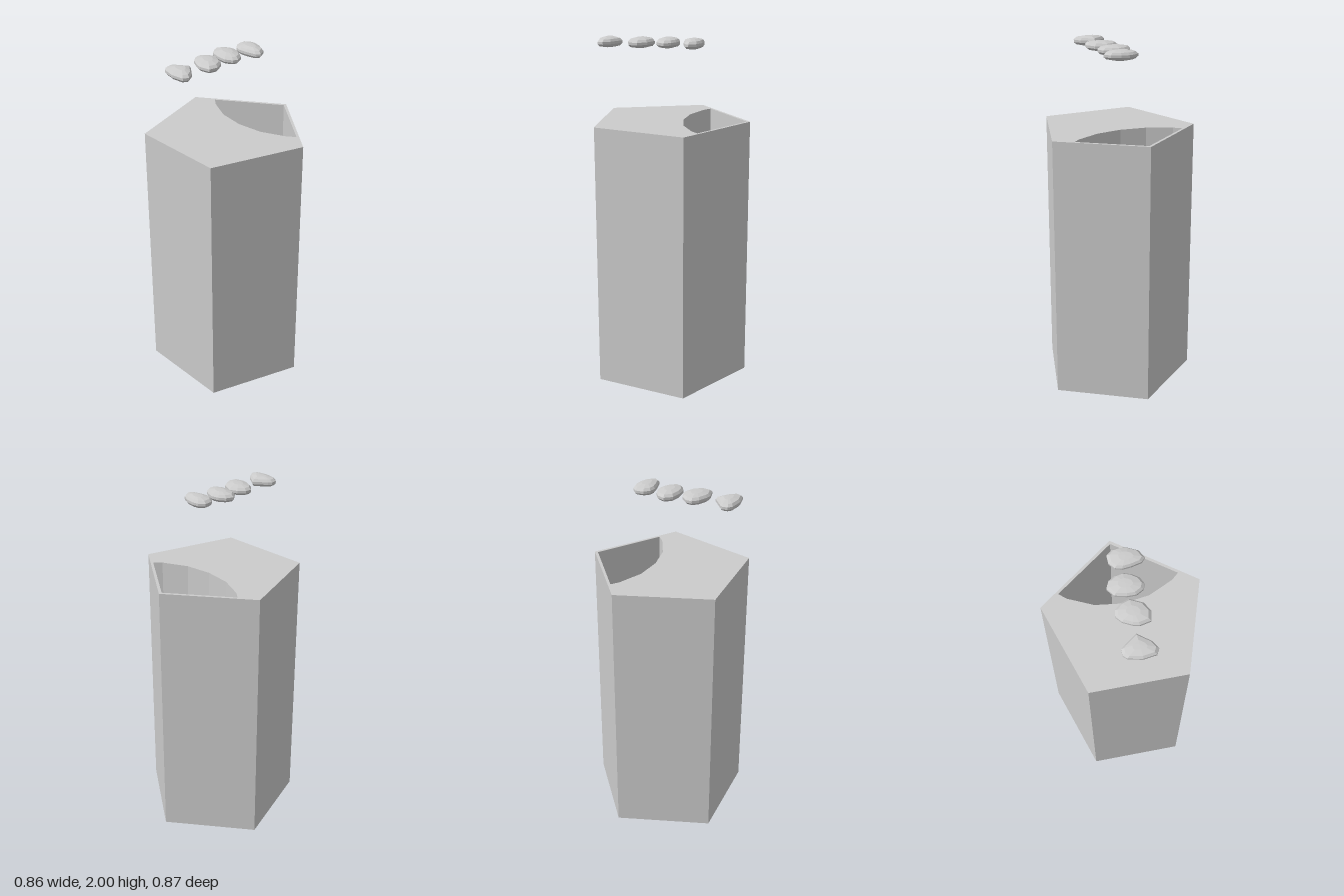
import * as THREE from 'three';
import { ConvexGeometry } from 'three/addons/geometries/ConvexGeometry.js';

const HEIGHT = 1.535, FLOOR = 0.05;

// Plan outlines, counter-clockwise seen from above, as [x, -z]
const BODY = [[0.43, 0], [0.11, 0.437], [-0.41, 0.27], [-0.41, -0.27], [0.11, -0.437]];
const POCKET = [[0.41, 0], [0.17, 0.33], [0.135, 0.29], [0.07, 0.15], [0.05, 0],
  [0.07, -0.15], [0.135, -0.29], [0.17, -0.33]];

// Girdle outlines of the stones, as [x, z]
const STONES = [
  [[-0.297, 0], [-0.347, -0.07], [-0.363, -0.086], [-0.395, -0.085], [-0.415, -0.065],
    [-0.43, 0.01], [-0.42, 0.08], [-0.39, 0.095], [-0.35, 0.07]],
  [[-0.112, 0], [-0.127, -0.045], [-0.158, -0.078], [-0.193, -0.082], [-0.225, -0.055],
    [-0.25, -0.005], [-0.258, 0.027], [-0.245, 0.087], [-0.196, 0.097], [-0.145, 0.068]],
  [[0.03, -0.005], [0.022, -0.045], [0, -0.08], [-0.04, -0.098], [-0.082, -0.066],
    [-0.097, -0.005], [-0.097, 0.043], [-0.075, 0.082], [-0.048, 0.094], [-0.01, 0.075], [0.015, 0.038]],
  [[0.168, 0], [0.163, -0.033], [0.138, -0.064], [0.092, -0.062], [0.062, -0.036],
    [0.052, 0], [0.057, 0.048], [0.07, 0.103], [0.092, 0.122], [0.135, 0.098], [0.16, 0.048]],
];

const vectors = (points) => points.map(([x, y]) => new THREE.Vector2(x, y));

// Horizontal face at height y, facing up or down
function cap(outline, y, up, hole) {
  const shape = new THREE.Shape(vectors(outline));
  if (hole) shape.holes.push(new THREE.Path(vectors(hole)));
  return new THREE.ShapeGeometry(shape)
    .rotateX(up ? -Math.PI / 2 : Math.PI / 2)
    .translate(0, y, 0);
}

// Vertical walls along an outline; reversing the outline turns them inward
function walls(outline, y0, y1) {
  const pos = [];
  outline.forEach(([ax, ay], i) => {
    const [bx, by] = outline[(i + 1) % outline.length];
    pos.push(ax, y0, -ay, bx, y0, -by, bx, y1, -by);
    pos.push(ax, y0, -ay, bx, y1, -by, ax, y1, -ay);
  });
  const geo = new THREE.BufferGeometry();
  geo.setAttribute('position', new THREE.Float32BufferAttribute(pos, 3));
  geo.computeVertexNormals();
  return geo;
}

// Faceted stone: mirrored rings shrinking from the girdle to a small table
function stoneGeometry(outline) {
  const xs = outline.map((p) => p[0]), zs = outline.map((p) => p[1]);
  const cx = (Math.min(...xs) + Math.max(...xs)) / 2;
  const cz = (Math.min(...zs) + Math.max(...zs)) / 2;
  const rings = [[1, 0.007], [0.84, 0.02], [0.4, 0.028]];
  const points = [];
  for (const side of [-1, 1]) {
    for (const [scale, h] of rings) {
      for (const [x, z] of outline) {
        points.push(new THREE.Vector3(cx + (x - cx) * scale, 1.971 + side * h, cz + (z - cz) * scale));
      }
    }
    points.push(new THREE.Vector3(cx, 1.971 + side * 0.029, cz));
  }
  return new ConvexGeometry(points);
}

export function createModel() {
  const model = new THREE.Group();
  const material = new THREE.MeshStandardMaterial({ color: 0xcccccc, flatShading: true });
  const add = (parent, name, geometry) => {
    const mesh = new THREE.Mesh(geometry, material);
    mesh.name = name;
    parent.add(mesh);
  };

  // Five-sided column with a pocket sunk into its top
  const column = new THREE.Group();
  column.name = 'column';
  add(column, 'outerWalls', walls(BODY, 0, HEIGHT));
  add(column, 'base', cap(BODY, 0, false));
  add(column, 'topFace', cap(BODY, HEIGHT, true, POCKET));
  add(column, 'pocketWalls', walls([...POCKET].reverse(), FLOOR, HEIGHT));
  add(column, 'pocketFloor', cap(POCKET, FLOOR, true));
  model.add(column);

  // Row of stones floating above
  const stones = new THREE.Group();
  stones.name = 'stones';
  STONES.forEach((outline, i) => add(stones, `stone${i + 1}`, stoneGeometry(outline)));
  model.add(stones);

  return model;
}
